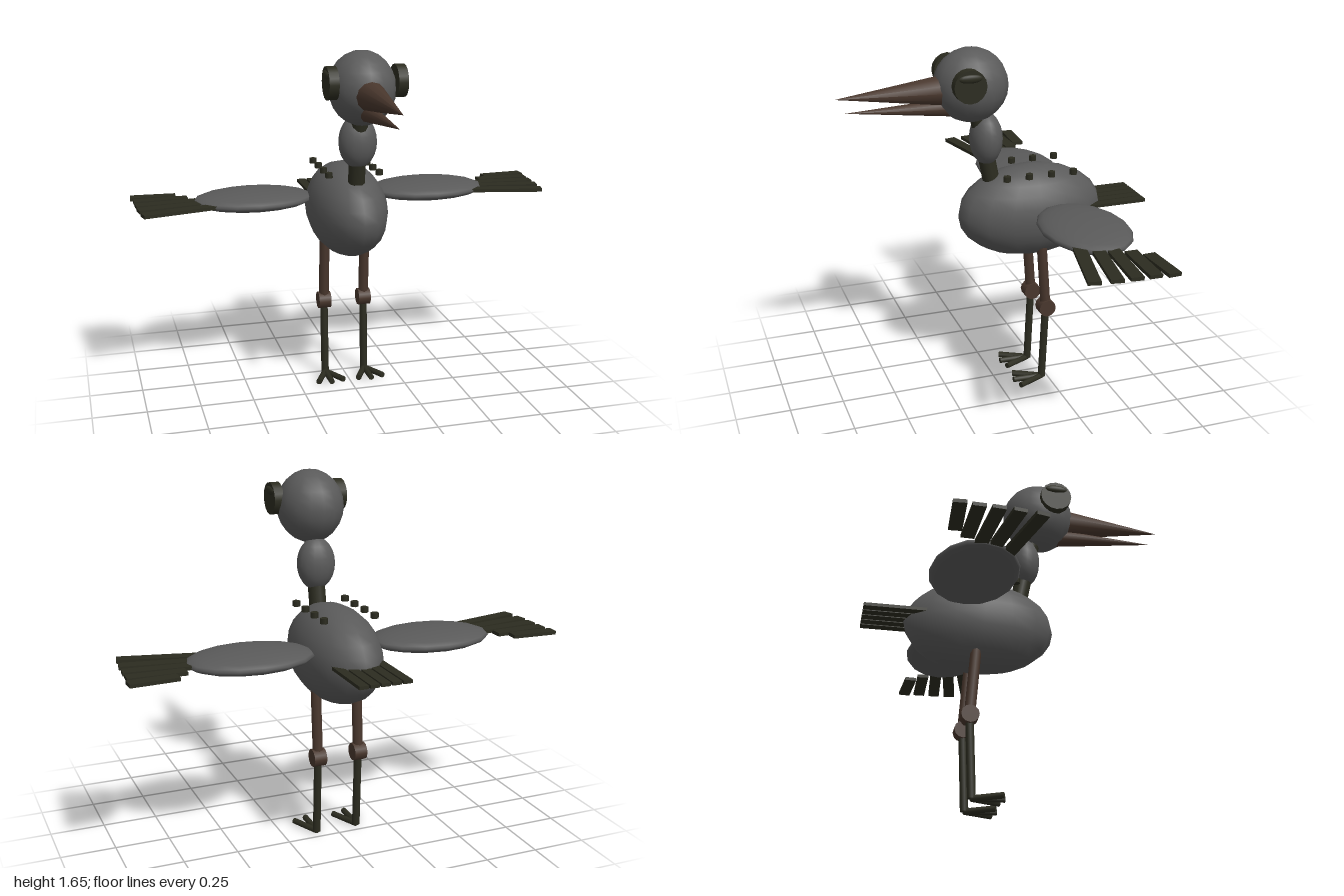
import * as THREE from 'three';

const mat = (name, color) => {
  const m = new THREE.MeshStandardMaterial({ color });
  m.name = name;
  return m;
};

export function createModel() {
  const grey = mat('grey metal', 0x5a5a5a);
  const dark = mat('dark olive metal', 0x2c2c20);
  const brown = mat('rusty brown', 0x49372d);
  const model = new THREE.Group();
  const V = (p) => new THREE.Vector3(...p);

  const add = (name, geometry, material, p = [0, 0, 0]) => {
    const mesh = new THREE.Mesh(geometry, material);
    mesh.name = name;
    mesh.position.set(...p);
    model.add(mesh);
    return mesh;
  };
  const ellipsoid = (name, material, p, r) => {
    const geo = new THREE.SphereGeometry(1, 16, 12).scale(...r);
    return add(name, geo, material, p);
  };
  // Round bar from a to b, radius r0 at a and r1 at b
  const bar = (name, material, a, b, r0, r1 = r0, sides = 8) => {
    const from = V(a), to = V(b), dir = to.clone().sub(from);
    const mesh = add(name, new THREE.CylinderGeometry(r1, r0, dir.length(), sides), material);
    mesh.position.copy(from).add(to).multiplyScalar(0.5);
    mesh.quaternion.setFromUnitVectors(new THREE.Vector3(0, 1, 0), dir.normalize());
    return mesh;
  };

  // Body, neck and head
  ellipsoid('body', grey, [0, 0.87, -0.18], [0.185, 0.22, 0.35]);
  bar('neckRod', dark, [0, 0.98, 0], [0, 1.36, 0.075], 0.04, 0.04, 12);
  ellipsoid('neck', grey, [0, 1.235, 0.035], [0.09, 0.122, 0.075]);
  ellipsoid('head', grey, [0, 1.49, 0.105], [0.152, 0.167, 0.17]);

  // Beak halves
  bar('upperBeak', brown, [0, 1.475, 0.24], [0, 1.475, 0.715], 0.068, 0, 12);
  bar('lowerBeak', brown, [0, 1.395, 0.2], [0, 1.41, 0.675], 0.042, 0, 12);

  // Tail feathers
  for (let i = -2; i <= 2; i++) {
    add('tailFeather', new THREE.BoxGeometry(0.042, 0.015, 0.3), dark, [i * 0.05, 0.885, -0.57]);
  }

  // Wing feathers: inner x, inner z, outer x, outer z
  const feathers = [
    [0.785, -0.408, 0.998, -0.42],
    [0.735, -0.35, 0.988, -0.342],
    [0.7, -0.287, 0.985, -0.262],
    [0.66, -0.23, 0.98, -0.178],
    [0.62, -0.165, 0.968, -0.085],
  ];

  for (const s of [1, -1]) {
    const side = s > 0 ? 'left' : 'right';

    // Goggle eye with a small lid
    bar(side + 'Eye', dark, [s * 0.133, 1.525, 0.16], [s * 0.177, 1.525, 0.16], 0.074, 0.074, 16);
    ellipsoid(side + 'Eyelid', dark, [s * 0.173, 1.562, 0.16], [0.014, 0.02, 0.056]);

    // Wing and its feathers
    ellipsoid(side + 'Wing', grey, [s * 0.43, 0.921, -0.272], [0.288, 0.046, 0.196]);
    for (const [x0, z0, x1, z1] of feathers) {
      const len = Math.hypot(x1 - x0, z1 - z0);
      const f = add(side + 'WingFeather', new THREE.BoxGeometry(len, 0.016, 0.056), dark,
        [s * (x0 + x1) / 2, 0.922, (z0 + z1) / 2]);
      f.rotation.y = -s * Math.atan2(z1 - z0, x1 - x0);
    }

    // Rivets along the back
    for (let i = 0; i < 4; i++) {
      add(side + 'Rivet', new THREE.CylinderGeometry(0.018, 0.018, 0.025, 6), dark,
        [s * 0.12, 1.072, -0.025 - i * 0.107]);
    }

    // Leg with knee and three toes
    const x = s * 0.1;
    bar(side + 'UpperLeg', brown, [x, 0.72, -0.205], [x, 0.395, -0.23], 0.025);
    bar(side + 'Knee', brown, [x - 0.03, 0.395, -0.23], [x + 0.03, 0.395, -0.23], 0.041, 0.041, 12);
    bar(side + 'LowerLeg', dark, [x, 0.395, -0.23], [x, 0.02, -0.215], 0.019);
    for (const t of [-1, 0, 1]) {
      bar(side + 'Toe', dark, [x, 0.02, -0.215], [x + t * 0.062, 0.024, t ? -0.085 : -0.07], 0.014);
    }
  }
  return model;
}
